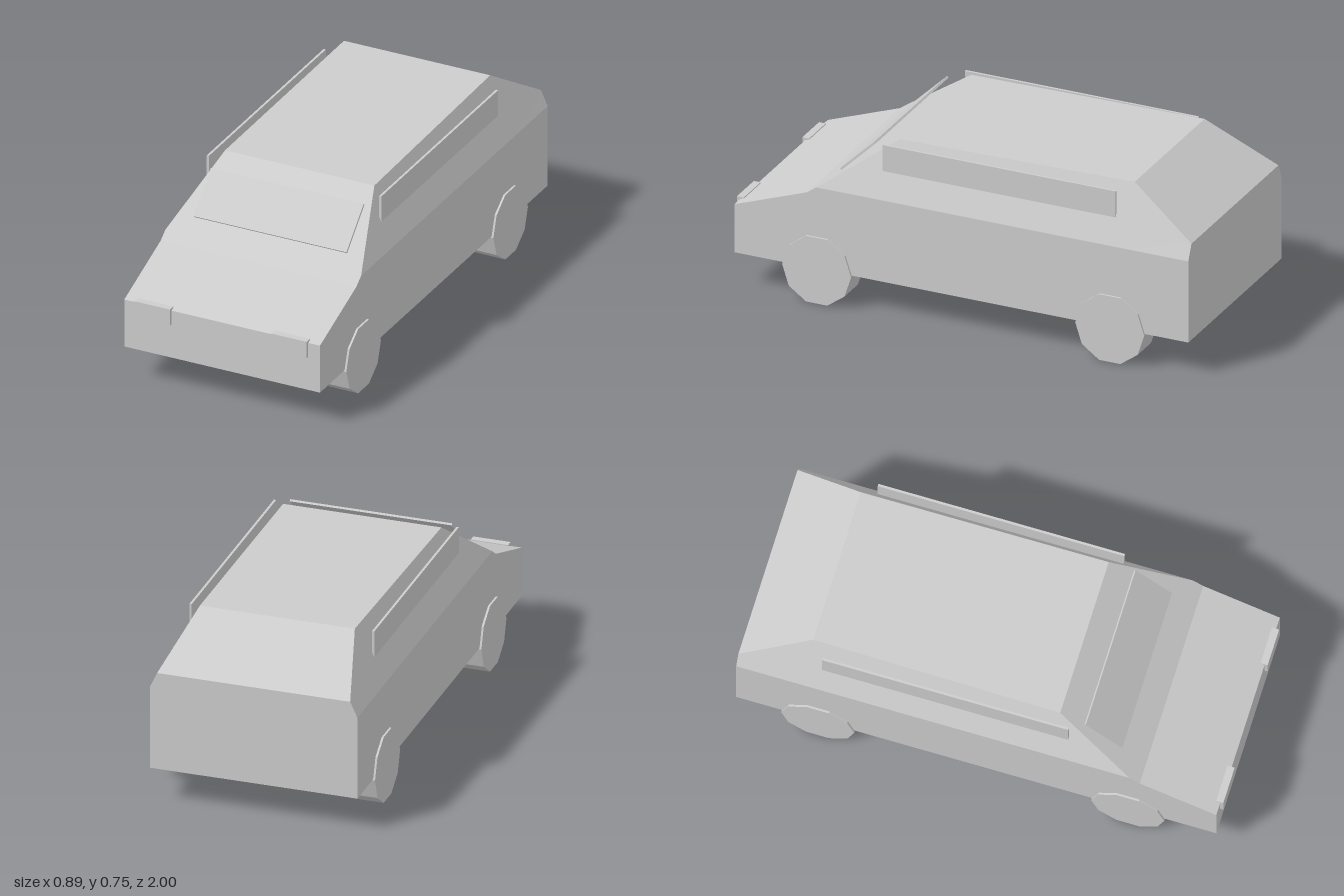
import * as THREE from 'three';

export function createModel() {
  const car = new THREE.Group();
  car.name = 'car';
  const grey = new THREE.MeshStandardMaterial({ color: 0xcccccc, flatShading: true });
  grey.name = 'light grey';

  function add(name, geometry, x, y, z) {
    const mesh = new THREE.Mesh(geometry, grey);
    mesh.name = name;
    mesh.position.set(x, y, z);
    car.add(mesh);
    return mesh;
  }

  // Body: six-cornered cross-sections from nose to tail
  const floorY = 0.15, halfWidth = 0.435;
  const sections = [ // z, shoulder height, roof half width, roof height
    [0.987, 0.36, 0.435, 0.36],
    [0.67, 0.475, 0.435, 0.475],
    [0.628, 0.505, 0.435, 0.505],
    [0.31, 0.505, 0.332, 0.736],
    [-0.714, 0.505, 0.325, 0.75],
    [-1, 0.505, 0.405, 0.57],
  ];
  const loops = sections.map(([z, shoulder, roofX, roofY]) => [
    [-halfWidth, floorY, z], [halfWidth, floorY, z], [halfWidth, shoulder, z],
    [roofX, roofY, z], [-roofX, roofY, z], [-halfWidth, shoulder, z],
  ].map((p) => new THREE.Vector3(...p)));

  const points = [];
  function triangle(a, b, c) {
    const area = b.clone().sub(a).cross(c.clone().sub(a)).length();
    if (area > 1e-6) points.push(a, b, c);
  }
  for (let s = 0; s < loops.length - 1; s++) {
    const a = loops[s], b = loops[s + 1];
    for (let i = 0; i < 6; i++) {
      const j = (i + 1) % 6;
      triangle(a[i], b[i], b[j]);
      triangle(a[i], b[j], a[j]);
    }
  }
  // Nose and tail panels
  const nose = loops[0], tail = loops[loops.length - 1];
  for (let i = 1; i < 5; i++) {
    triangle(nose[0], nose[i], nose[i + 1]);
    triangle(tail[0], tail[i + 1], tail[i]);
  }
  const bodyGeometry = new THREE.BufferGeometry().setFromPoints(points);
  bodyGeometry.computeVertexNormals();
  add('body', bodyGeometry, 0, 0, 0);

  // Windscreen plate, tilted back
  const windscreen = add('windscreen', new THREE.BoxGeometry(0.68, 0.21, 0.009), 0, 0.63, 0.491);
  windscreen.rotation.x = -0.8;

  // Parts mirrored left and right
  const wheelGeometry = new THREE.CylinderGeometry(0.151, 0.151, 0.125, 10);
  wheelGeometry.rotateZ(Math.PI / 2);
  for (const [side, label] of [[1, 'left'], [-1, 'right']]) {
    add(label + 'SideWindow', new THREE.BoxGeometry(0.01, 0.135, 1.02), side * 0.383, 0.656, -0.15);
    add(label + 'Headlight', new THREE.BoxGeometry(0.157, 0.073, 0.03), side * 0.304, 0.334, 0.985);
    add(label + 'FrontWheel', wheelGeometry, side * 0.381, 0.145, 0.623);
    add(label + 'RearWheel', wheelGeometry, side * 0.381, 0.145, -0.66);
  }
  return car;
}
